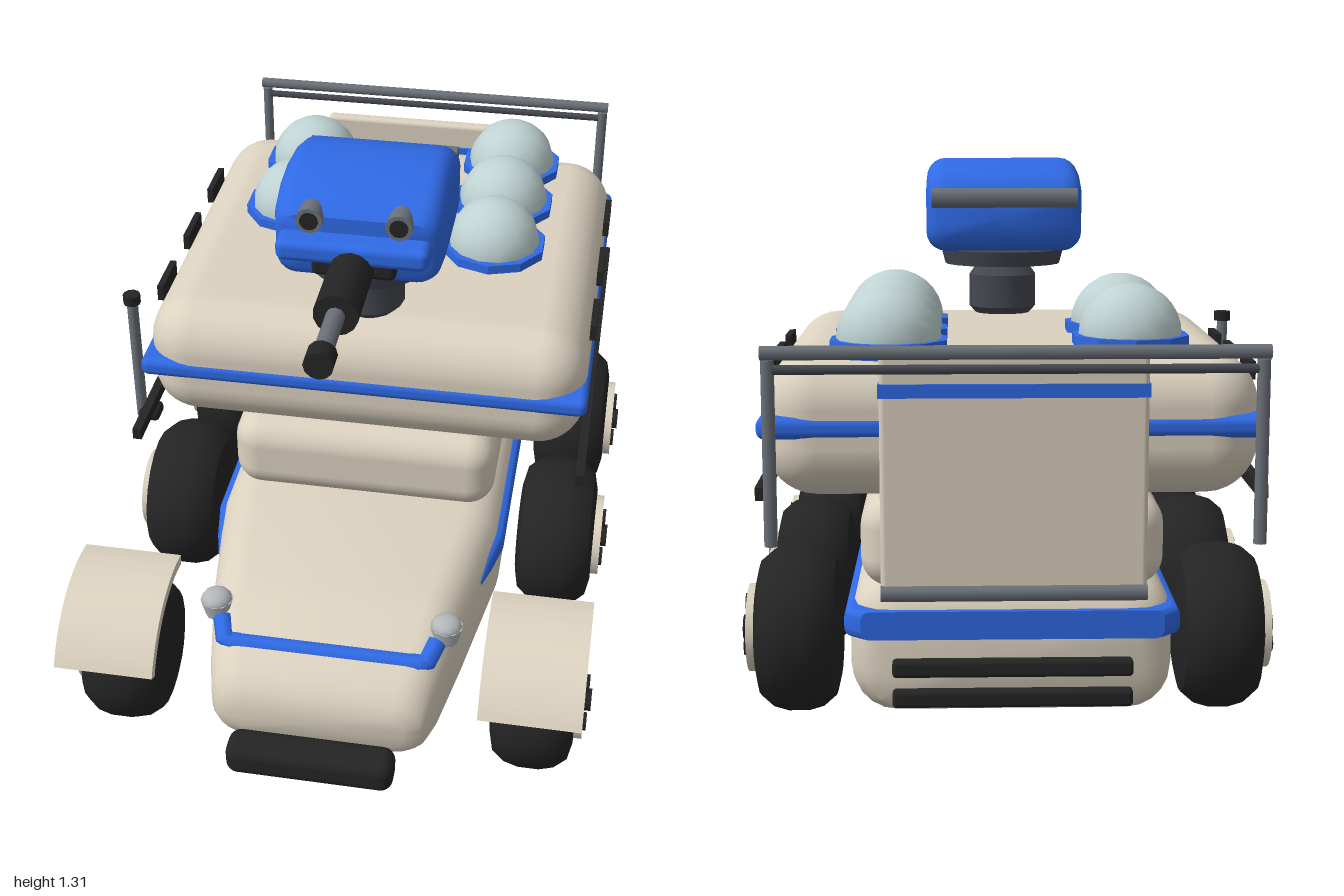
import * as THREE from 'three';
import { toCreasedNormals } from 'three/addons/utils/BufferGeometryUtils.js';
import { RoundedBoxGeometry } from 'three/addons/geometries/RoundedBoxGeometry.js';

const paint = (color, side = THREE.FrontSide) => new THREE.MeshStandardMaterial({ color, side });
const cream = paint(0xdcd2c0), blue = paint(0x2f6ae6), dark = paint(0x242424);
const steel = paint(0x6b7178), slate = paint(0x444850), glass = paint(0xbfd2d2), lamp = paint(0xb4b8bb);

export function createModel() {
  const root = new THREE.Group();
  root.name = 'roverVehicle';

  const add = (name, geo, mat, x = 0, y = 0, z = 0, parent = root) => {
    const m = new THREE.Mesh(geo, mat);
    m.name = name;
    m.position.set(x, y, z);
    parent.add(m);
    return m;
  };
  const box = (w, h, d) => new THREE.BoxGeometry(w, h, d);
  const round = (w, h, d, r) => new RoundedBoxGeometry(w, h, d, 4, r);
  const cyl = (r0, r1, h, n = 16) => new THREE.CylinderGeometry(r1, r0, h, n);
  const cylX = (r, h, n = 14) => cyl(r, r, h, n).rotateZ(-Math.PI / 2);
  const cylZ = (r, h, n = 14) => cyl(r, r, h, n).rotateX(Math.PI / 2);

  // Skin over rounded-rectangle sections [z, halfWidth, yLow, yHigh, cornerRadius]
  const loft = (sections, n = 5) => {
    const pos = [], index = [], ring = 4 * (n + 1);
    for (const [z, hw, y0, y1, r] of sections) {
      for (let c = 0; c < 4; c++) for (let k = 0; k <= n; k++) {
        const a = (c + k / n) * Math.PI / 2;
        const cx = (c === 0 || c === 3 ? 1 : -1) * (hw - r);
        const cy = c < 2 ? y1 - r : y0 + r;
        pos.push(cx + r * Math.cos(a), cy + r * Math.sin(a), z);
      }
    }
    const last = (sections.length - 1) * ring, centre = pos.length / 3;
    for (const s of [sections[0], sections[sections.length - 1]]) pos.push(0, (s[2] + s[3]) / 2, s[0]);
    for (let j = 0; j < ring; j++) {
      const k = (j + 1) % ring;
      for (let i = 0; i < last; i += ring) {
        index.push(i + j, i + k, i + ring + j, i + k, i + ring + k, i + ring + j);
      }
      index.push(centre, k, j, centre + 1, last + j, last + k);
    }
    const g = new THREE.BufferGeometry();
    g.setAttribute('position', new THREE.Float32BufferAttribute(pos, 3));
    g.setIndex(index);
    return toCreasedNormals(g, 0.7);
  };

  // Lower hull with tapering nose
  add('lowerHull', loft([
    [-0.765, 0.29, 0.13, 0.31, 0.06], [-0.75, 0.335, 0.1, 0.355, 0.09], [-0.71, 0.36, 0.083, 0.385, 0.1],
    [-0.66, 0.368, 0.08, 0.39, 0.1], [0.28, 0.368, 0.08, 0.39, 0.1], [0.6, 0.315, 0.08, 0.385, 0.09],
    [0.67, 0.3, 0.08, 0.37, 0.08], [0.78, 0.28, 0.08, 0.325, 0.08], [0.84, 0.265, 0.09, 0.29, 0.08],
    [0.865, 0.25, 0.11, 0.26, 0.07], [0.88, 0.21, 0.14, 0.23, 0.04],
  ]), cream);
  add('hullStripe', loft([
    [-0.775, 0.34, 0.265, 0.33, 0.02], [-0.74, 0.378, 0.265, 0.33, 0.02], [0.28, 0.378, 0.265, 0.33, 0.02],
    [0.38, 0.359, 0.275, 0.325, 0.02], [0.45, 0.34, 0.29, 0.31, 0.008],
  ]), blue);
  const noseCurve = new THREE.CurvePath();
  const nosePts = [[-0.262, 0.335, 0.71], [-0.243, 0.312, 0.765], [0.243, 0.312, 0.765], [0.262, 0.335, 0.71]]
    .map(p => new THREE.Vector3(...p));
  for (let i = 0; i < 3; i++) noseCurve.add(new THREE.LineCurve3(nosePts[i], nosePts[i + 1]));
  add('noseStripe', new THREE.TubeGeometry(noseCurve, 40, 0.024, 8), blue);
  add('frontBumper', round(0.4, 0.086, 0.09, 0.03), dark, 0, 0.147, 0.955);
  for (const y of [0.13, 0.2]) add('rearBumperBar', round(0.54, 0.04, 0.045, 0.01), dark, 0, y, -0.768);

  // Cabin and upper deck
  add('cabin', round(0.68, 0.21, 1.05, 0.07), cream, 0, 0.48, -0.255);
  add('upperDeck', round(1.11, 0.325, 1.06, 0.12), cream, 0, 0.74, -0.25);
  add('deckStripe', round(1.125, 0.05, 1.07, 0.02), blue, 0, 0.745, -0.25);

  // Wheels: tyre, hub and bolts, outer face toward local +x
  const wheel = (name, s, z, r) => {
    const g = new THREE.Group();
    g.name = name;
    g.position.set(s * 0.505, r, z);
    g.rotation.y = s > 0 ? 0 : Math.PI;
    root.add(g);
    const prof = [[0.001, -0.1], [r * 0.6, -0.1], [r * 0.82, -0.09], [r * 0.95, -0.06], [r, -0.025],
      [r, 0.025], [r * 0.95, 0.06], [r * 0.82, 0.09], [r * 0.6, 0.1], [0.001, 0.1]];
    const tyre = new THREE.LatheGeometry(prof.map(p => new THREE.Vector2(...p)), 20).rotateZ(-Math.PI / 2);
    add('tyre', toCreasedNormals(tyre, 0.6), dark, 0, 0, 0, g);
    add('hub', cylX(r * 0.53, 0.04, 20), cream, 0.1, 0, 0, g);
    add('hubCap', cylX(r * 0.15, 0.04, 10), dark, 0.115, 0, 0, g);
    for (let i = 0; i < 3; i++) {
      const a = Math.PI / 2 + i * Math.PI * 2 / 3;
      add('hubBolt', cylX(r * 0.12, 0.03, 8), dark, 0.113, Math.sin(a) * r * 0.3, Math.cos(a) * r * 0.3, g);
    }
  };

  // Curved front fender
  const arc = new THREE.Shape();
  arc.absarc(0, 0, 0.266, 0.5, 1.81, false);
  arc.absarc(0, 0, 0.24, 1.81, 0.5, true);
  const fender = toCreasedNormals(new THREE.ExtrudeGeometry(arc, { depth: 0.24, bevelEnabled: false, curveSegments: 12 })
    .rotateY(-Math.PI / 2).translate(0.12, 0, 0), 0.5);

  for (const s of [-1, 1]) {
    wheel('frontWheel', s, 0.684, 0.18);
    wheel('middleWheel', s, 0.09, 0.2);
    wheel('rearWheel', s, -0.445, 0.2);
    add('frontFender', fender, cream, s * 0.505, 0.18, 0.684);
    add('headlightBase', cyl(0.03, 0.04, 0.045, 10), lamp, s * 0.282, 0.348, 0.685);
    add('headlightDome', new THREE.SphereGeometry(0.038, 10, 5, 0, Math.PI * 2, 0, Math.PI / 2).scale(1, 0.65, 1),
      lamp, s * 0.282, 0.37, 0.685);
    add('sideRail', box(0.022, 0.03, 1.1), dark, s * 0.56, 0.592, -0.19);
    for (const z of [0.015, -0.245, -0.505]) add('sideVent', box(0.016, 0.042, 0.13), dark, s * 0.558, 0.84, z);
    add('rackPost', cyl(0.014, 0.014, 0.39, 8), steel, s * 0.51, 0.73, -0.985);
  }

  // Rear rack and door
  add('rackTopBar', cylX(0.015, 1.05, 8), steel, 0, 0.94, -0.985);
  add('rackLowerBar', cylX(0.01, 1.02, 8), slate, 0, 0.905, -0.985);
  add('rearPlate', box(0.53, 0.36, 0.02), dark, 0, 0.62, -0.79);
  add('rearDoor', round(0.58, 0.53, 0.035, 0.012), cream, 0, 0.66, -0.84);
  add('doorStripe', box(0.584, 0.03, 0.048), blue, 0, 0.84, -0.84);
  add('doorHinge', cylX(0.018, 0.58, 10), steel, 0, 0.395, -0.855);
  for (let i = 0; i < 5; i++) add('doorRung', box(0.5, 0.02, 0.03), steel, 0, 0.48 + i * 0.075, -0.815);

  // Antenna on the right side
  add('antennaBracket', round(0.055, 0.032, 0.06, 0.012), dark, -0.578, 0.535, 0.18);
  add('antennaRod', cyl(0.014, 0.014, 0.36, 10), steel, -0.602, 0.7, 0.18);
  add('antennaTip', cyl(0.022, 0.022, 0.025, 10), dark, -0.602, 0.883, 0.18);

  // Roof domes
  for (const [x, z] of [[0.275, -0.19], [0.275, -0.415], [0.275, -0.635], [-0.275, -0.565], [-0.275, -0.305]]) {
    add('domeRing', toCreasedNormals(cyl(0.137, 0.137, 0.035, 10), 0.3), blue, x, 0.909, z);
    add('glassDome', new THREE.SphereGeometry(0.119, 14, 7, 0, Math.PI * 2, 0, Math.PI / 2), glass, x, 0.924, z);
  }

  // Turret
  const turret = new THREE.Group();
  turret.name = 'turret';
  root.add(turret);
  const t = (name, geo, mat, x, y, z) => add(name, geo, mat, x, y, z, turret);
  const neck = [[0.001, 0], [0.07, 0], [0.088, 0.02], [0.088, 0.105], [0.07, 0.13], [0.07, 0.14]];
  t('neck', toCreasedNormals(new THREE.LatheGeometry(neck.map(p => new THREE.Vector2(...p)), 16), 0.6), slate, 0, 0.9, 0.125);
  t('collar', cyl(0.152, 0.162, 0.038, 20), slate, 0, 1.053, 0.125);
  t('head', loft([
    [-0.075, 0.17, 1.11, 1.22, 0.03], [-0.06, 0.19, 1.088, 1.25, 0.045], [-0.02, 0.2, 1.076, 1.28, 0.05],
    [0.05, 0.2, 1.073, 1.302, 0.05], [0.13, 0.2, 1.072, 1.311, 0.05], [0.21, 0.2, 1.073, 1.302, 0.05],
    [0.28, 0.197, 1.078, 1.28, 0.05], [0.31, 0.188, 1.09, 1.262, 0.045], [0.322, 0.17, 1.11, 1.25, 0.03],
  ]), blue);
  t('browLip', round(0.36, 0.056, 0.14, 0.02), blue, 0, 1.183, 0.31);
  t('rearBar', cylX(0.026, 0.37, 10), steel, 0, 1.215, -0.088);
  for (const s of [-1, 1]) {
    t('eyeRing', cylZ(0.032, 0.05), steel, s * 0.105, 1.246, 0.312);
    t('eyeLens', cylZ(0.022, 0.05), dark, s * 0.105, 1.246, 0.316);
  }
  t('gunMount', round(0.2, 0.05, 0.06, 0.015), dark, 0, 1.135, 0.325);
  t('gunSleeve', cylZ(0.052, 0.26), dark, 0, 1.145, 0.435);
  t('gunBarrel', cylZ(0.022, 0.18, 10), steel, 0, 1.145, 0.64);
  t('gunMuzzle', cylZ(0.034, 0.05, 12), dark, 0, 1.145, 0.738);

  return root;
}
